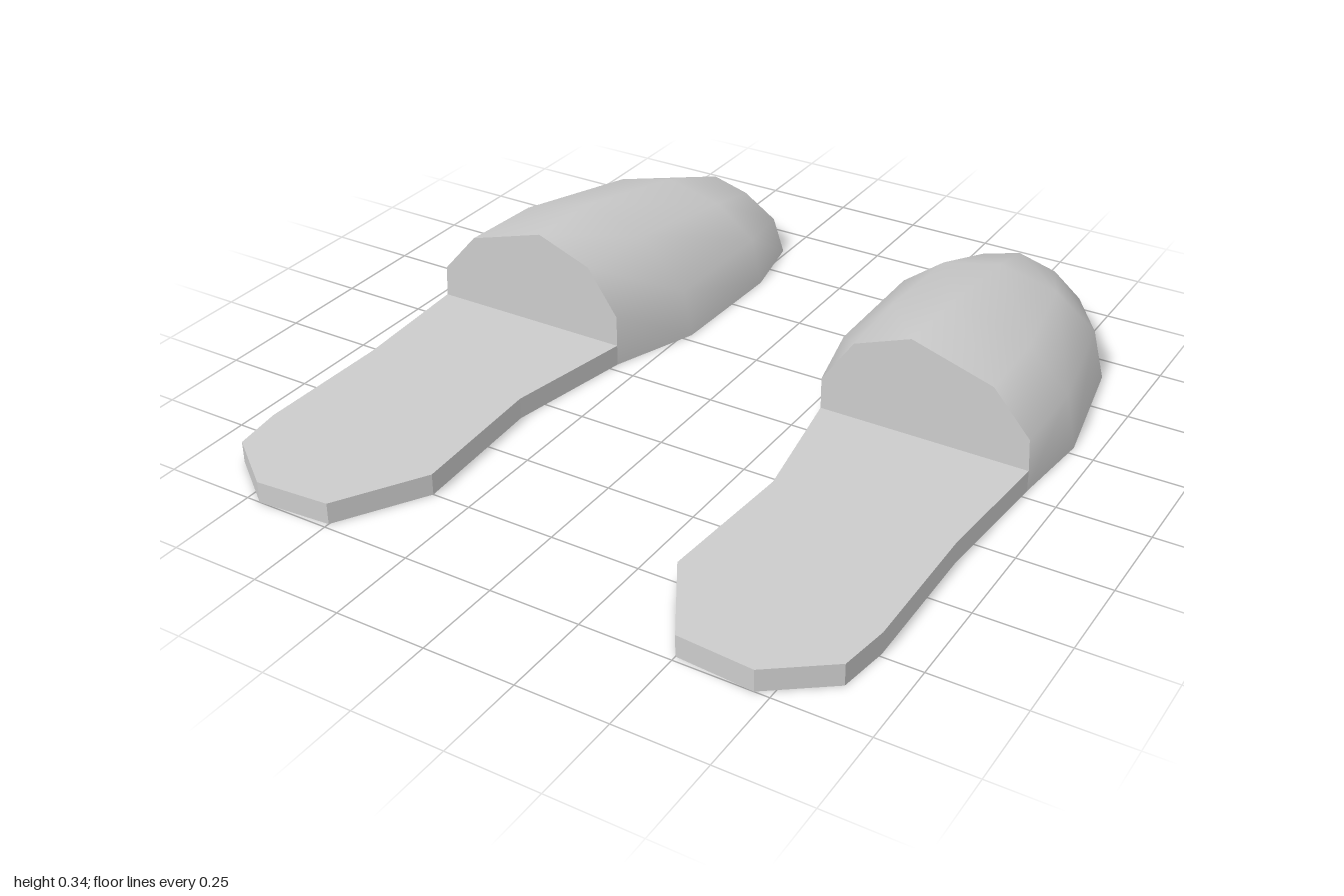
import * as THREE from 'three';

const grey = new THREE.MeshStandardMaterial({ color: 0xcccccc });
const SOLE = 0.06;

// Heel half of the footprint, [x, z]
const heelOutline = [
  [0.91, -0.03], [0.885, 0.34], [0.89, 0.74], [0.87, 0.88], [0.71, 1], [0.5, 0.985],
  [0.36, 0.75], [0.385, 0.34], [0.32, -0.03],
];

// Upper: cross-sections from the opening to the toe, [x, y] from inner to outer edge
const sections = [
  { z: -0.03, p: [[0.32, 0], [0.32, 0.15], [0.41, 0.28], [0.57, 0.34], [0.8, 0.27], [0.905, 0.15], [0.91, 0]] },
  { z: -0.28, p: [[0.23, 0], [0.255, 0.135], [0.395, 0.275], [0.57, 0.333], [0.79, 0.265], [0.905, 0.15], [0.935, 0]] },
  { z: -0.66, p: [[0.22, 0], [0.25, 0.135], [0.37, 0.225], [0.54, 0.265], [0.71, 0.225], [0.83, 0.135], [0.865, 0]] },
  { z: -0.88, p: [[0.265, 0], [0.3, 0.1], [0.4, 0.165], [0.51, 0.195], [0.62, 0.165], [0.7, 0.1], [0.72, 0]] },
  { z: -0.97, p: [[0.39, 0], [0.41, 0.05], [0.45, 0.085], [0.51, 0.1], [0.57, 0.085], [0.61, 0.05], [0.63, 0]] },
  { z: -1, p: [[0.435, 0], [0.46, 0], [0.49, 0], [0.515, 0], [0.54, 0], [0.57, 0], [0.6, 0]] },
];

function makeShape(points, side) {
  return new THREE.Shape(points.map(([x, y]) => new THREE.Vector2(side * x, y)));
}

function loftUpper(side) {
  const positions = [], index = [];
  const n = sections[0].p.length;
  for (const { z, p } of sections) for (const [x, y] of p) positions.push(side * x, y, z);
  for (let i = 0; i < sections.length - 1; i++) {
    for (let j = 0; j < n - 1; j++) {
      const a = i * n + j, b = a + 1, c = a + n, d = c + 1;
      if (side > 0) index.push(a, b, c, b, d, c);
      else index.push(a, c, b, b, c, d);
    }
  }
  const geometry = new THREE.BufferGeometry();
  geometry.setAttribute('position', new THREE.Float32BufferAttribute(positions, 3));
  geometry.setIndex(index);
  geometry.computeVertexNormals();
  return geometry;
}

function createSlipper(side) {
  const slipper = new THREE.Group();
  slipper.name = side > 0 ? 'leftSlipper' : 'rightSlipper';
  const add = (name, geometry) => {
    const mesh = new THREE.Mesh(geometry, grey);
    mesh.name = name;
    slipper.add(mesh);
  };

  // Flat heel slab
  const heel = new THREE.ExtrudeGeometry(makeShape(heelOutline, side), { depth: SOLE, bevelEnabled: false });
  add('heelSole', heel.rotateX(Math.PI / 2).translate(0, SOLE, 0));

  // Underside of the toe, following the lower edges of the upper
  const inner = sections.map(({ z, p }) => [p[0][0], z]);
  const outer = sections.map(({ z, p }) => [p[p.length - 1][0], z]).reverse();
  const underside = new THREE.ShapeGeometry(makeShape([...inner, ...outer], side));
  add('toeSole', underside.rotateX(Math.PI / 2));

  // Rounded toe cover
  add('upper', loftUpper(side));

  // Flat wall closing the upper above the sole
  const wall = sections[0].p.map(([x, y]) => [x, Math.max(y, SOLE)]);
  add('openingWall', new THREE.ShapeGeometry(makeShape(wall, side)).translate(0, 0, sections[0].z));

  return slipper;
}

export function createModel() {
  const model = new THREE.Group();
  model.name = 'slippers';
  for (const side of [1, -1]) model.add(createSlipper(side));
  return model;
}
